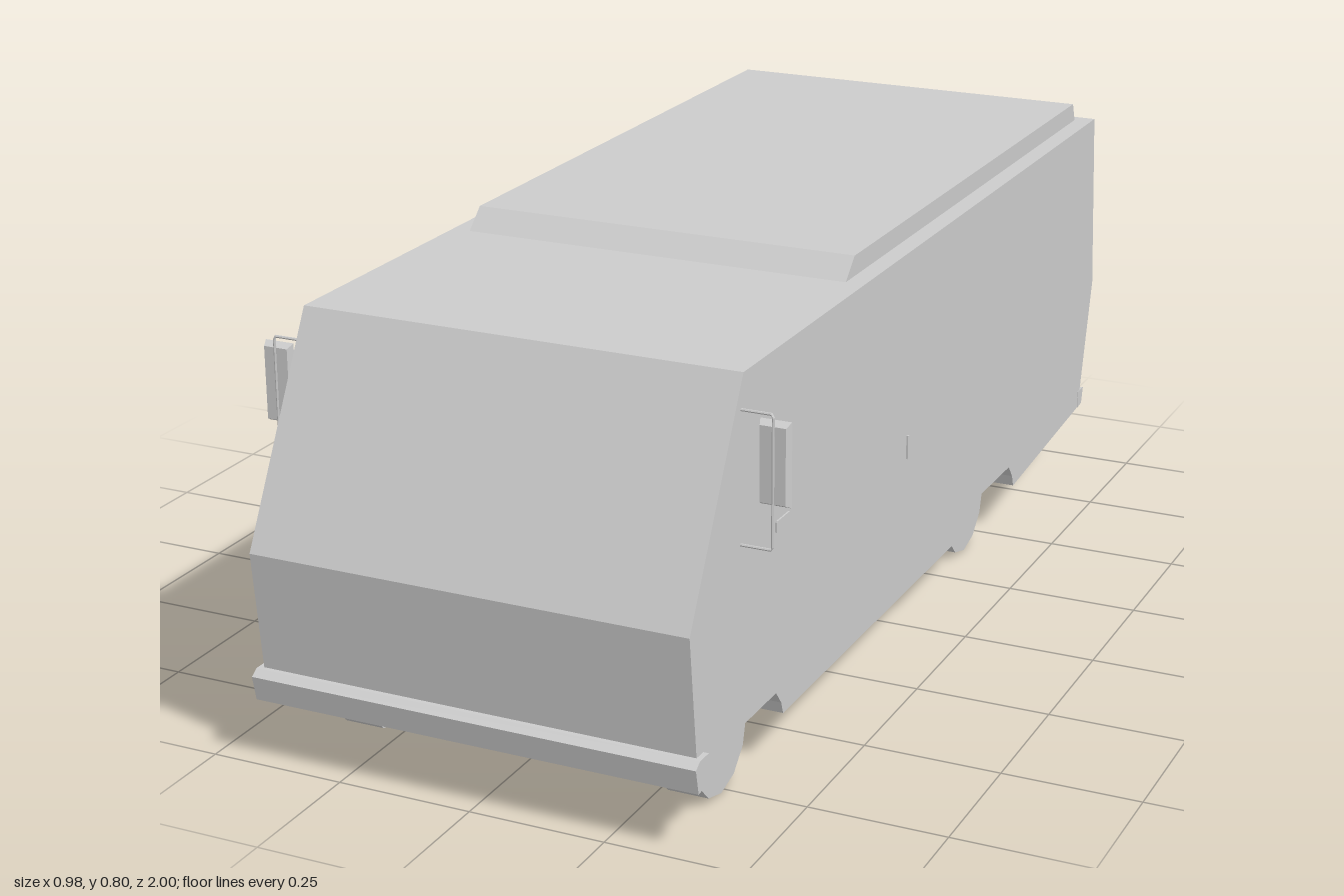
import * as THREE from 'three';

const grey = new THREE.MeshStandardMaterial({ color: 0xcccccc, flatShading: true });

// Extrude a side profile of [z, y] points across the width, from x0 to x1.
function sideExtrude(name, points, x0, x1) {
  const shape = new THREE.Shape(points.map(([z, y]) => new THREE.Vector2(z, y)));
  const geo = new THREE.ExtrudeGeometry(shape, { depth: x1 - x0, bevelEnabled: false });
  geo.rotateY(-Math.PI / 2).translate(x1, 0, 0);
  return named(name, geo);
}

function named(name, geo) {
  const mesh = new THREE.Mesh(geo, grey);
  mesh.name = name;
  return mesh;
}

function box(name, w, h, d, x, y, z) {
  return named(name, new THREE.BoxGeometry(w, h, d).translate(x, y, z));
}

const AXLES = [-0.395, 0.765];
const HALF = 0.405, WELL = 0.22;

// Outline from the nose over the roof to the tail.
const upper = [[0.975, 0.16], [1, 0.39], [0.8, 0.765], [-0.965, 0.765], [-1, 0.4], [-0.94, 0.16], [-0.94, 0.138]];
const floor = [[-0.53, 0.102], [0.655, 0.102], [0.88, 0.118], [0.975, 0.118]];

// Angular wheel arch, travelled from back to front.
const arch = c => [[-0.13, 0.102], [-0.122, 0.125], [-0.1, 0.152], [0.1, 0.152], [0.11, 0.14], [0.116, 0.118]]
  .map(([z, y]) => [c + z, c < 0 && z > 0.115 ? 0.102 : y]);

// Thin mirror housing tapering to a smaller face at the front.
function mirrorHousing(name) {
  const geo = new THREE.BoxGeometry(0.055, 0.145, 0.014);
  const p = geo.attributes.position;
  for (let i = 0; i < p.count; i++) {
    if (p.getZ(i) > 0) p.setXY(i, p.getX(i) * 0.82, p.getY(i) * 0.9);
  }
  geo.computeVertexNormals();
  geo.translate(0.46, 0.62, 0.803);
  return named(name, geo);
}

// Mirror bracket: a bent rod from the body side.
function mirrorBracket(name) {
  const pts = [[0.4, 0.706], [0.461, 0.706], [0.461, 0.476], [0.4, 0.476]].map(([x, y]) => new THREE.Vector3(x, y, 0.81));
  const path = new THREE.CurvePath();
  for (let i = 0; i < 3; i++) path.add(new THREE.LineCurve3(pts[i], pts[i + 1]));
  return named(name, new THREE.TubeGeometry(path, 48, 0.0025, 6, false));
}

export function createModel() {
  const van = new THREE.Group();
  van.name = 'van';

  // Body: a solid core and two sides notched for the wheels
  const notched = [...upper, ...arch(AXLES[0]), ...arch(AXLES[1]), [0.975, 0.118]];
  van.add(
    sideExtrude('bodyCore', [...upper, ...floor], -WELL, WELL),
    sideExtrude('bodyLeft', notched, WELL, HALF),
    sideExtrude('bodyRight', notched, -HALF, -WELL),
  );

  // Raised roof panel
  van.add(sideExtrude('roofPanel', [[0.3, 0.764], [0.26, 0.802], [-0.925, 0.802], [-0.94, 0.764]], -0.37, 0.37));

  // Bumpers
  van.add(
    sideExtrude('frontBumper', [[0.952, 0.122], [0.99, 0.117], [1, 0.163], [0.985, 0.173], [0.952, 0.173]], -0.415, 0.415),
    sideExtrude('rearBumper', [[-0.93, 0.137], [-0.955, 0.14], [-0.963, 0.173], [-0.93, 0.173]], -HALF - 0.001, HALF + 0.001),
  );

  // Wheels
  for (const z of AXLES) {
    for (const s of [-1, 1]) {
      const geo = new THREE.CylinderGeometry(0.1, 0.1, 0.075, 12);
      geo.rotateZ(Math.PI / 2).translate(s * 0.3125, 0.1, z);
      van.add(named((z > 0 ? 'front' : 'rear') + 'Wheel' + (s > 0 ? 'Left' : 'Right'), geo));
    }
  }

  // Mirrors and front door handles on both sides
  for (const s of [-1, 1]) {
    const side = s > 0 ? 'Left' : 'Right';
    const mirror = new THREE.Group();
    mirror.name = 'mirror' + side;
    mirror.add(mirrorHousing('mirrorHousing'), mirrorBracket('mirrorBracket'));
    mirror.scale.x = s;
    van.add(mirror);

    const handle = new THREE.Group();
    handle.name = 'doorHandle' + side;
    handle.add(
      box('handleBar', 0.006, 0.006, 0.05, s * 0.405, 0.462, 0.645),
      box('handleEnd', 0.006, 0.018, 0.006, s * 0.405, 0.455, 0.67),
    );
    van.add(handle);
  }

  // Upright handle of the sliding door, left side only
  van.add(box('slidingDoorHandle', 0.007, 0.045, 0.007, 0.405, 0.393, 0.08));

  return van;
}
